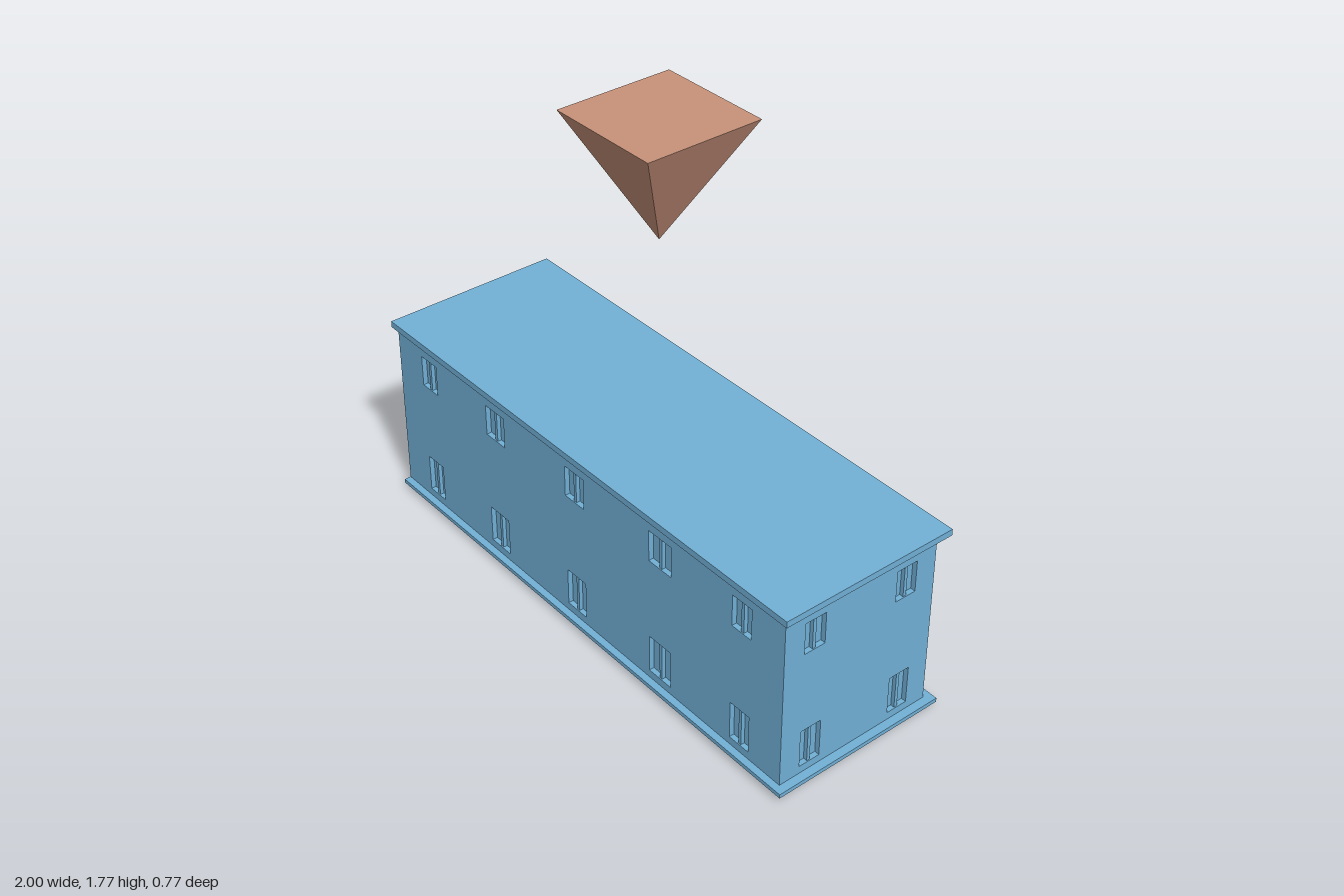
import * as THREE from 'three';

const blue = new THREE.MeshStandardMaterial({ color: 0x72b0d6, flatShading: true });
const brown = new THREE.MeshStandardMaterial({ color: 0xc8927a, flatShading: true });

const WALL = 0.03;    // wall thickness
const Y0 = 0.035;     // wall foot
const Y1 = 0.68;      // wall head

// Box given by its limits on each axis
function box(name, [x0, x1], [y0, y1], [z0, z1]) {
  const mesh = new THREE.Mesh(new THREE.BoxGeometry(x1 - x0, y1 - y0, z1 - z0), blue);
  mesh.position.set((x0 + x1) / 2, (y0 + y1) / 2, (z0 + z1) / 2);
  mesh.name = name;
  return mesh;
}

// Flat panel with rectangular openings, outer face at z = 0
function panel(name, x0, x1, y0, y1, openings, depth) {
  const rect = (P, a, b, c, d) => {
    const p = new P();
    p.moveTo(a, c); p.lineTo(b, c); p.lineTo(b, d); p.lineTo(a, d); p.closePath();
    return p;
  };
  const shape = rect(THREE.Shape, x0, x1, y0, y1);
  for (const o of openings) {
    shape.holes.push(rect(THREE.Path, o.x - o.w / 2, o.x + o.w / 2, o.y0, o.y1));
  }
  const geo = new THREE.ExtrudeGeometry(shape, { depth, bevelEnabled: false });
  geo.translate(0, 0, -depth);
  const mesh = new THREE.Mesh(geo, blue);
  mesh.name = name;
  return mesh;
}

// Recessed panes with posts and an optional transom
function makeWindow(o) {
  const g = new THREE.Group();
  g.name = 'window';
  const x0 = o.x - o.w / 2, x1 = o.x + o.w / 2;
  g.add(box('glass', [x0, x1], [o.y0, o.y1], [-WALL, -0.018]));
  for (let i = 1; i < o.cols; i++) {
    const x = x0 + (o.w * i) / o.cols;
    g.add(box('post', [x - 0.006, x + 0.006], [o.y0, o.y1], [-0.019, -0.004]));
  }
  if (o.transom) {
    const y = o.y0 + (o.y1 - o.y0) * 0.66;
    g.add(box('transom', [x0, x1], [y - 0.006, y + 0.006], [-0.019, -0.004]));
  }
  return g;
}

// Wall with its windows, drawn facing +z
function makeWall(name, x0, x1, windows) {
  const g = new THREE.Group();
  g.name = name;
  g.add(panel('wallFace', x0, x1, Y0, Y1, windows, WALL));
  windows.forEach((o) => g.add(makeWindow(o)));
  return g;
}

const upper = (x, w) => ({ x, w, y0: 0.505, y1: 0.62, cols: 2 });
const lower = (x, w) => ({ x, w, y0: 0.063, y1: 0.203, cols: 2 });
const large = (x, w) => ({ x, w, y0: 0.07, y1: 0.25, cols: 3, transom: true });

export function createModel() {
  const model = new THREE.Group();
  model.name = 'building';

  // Roof and base slabs, overhanging on three sides
  model.add(box('roofSlab', [-1, 1], [Y1, 0.703], [-0.27, 0.385]));
  model.add(box('baseSlab', [-1, 1], [0.02, Y0], [-0.27, 0.385]));

  // Front wall: two rows of five windows
  const bays = [[-0.82, 0.085], [-0.44, 0.1], [-0.015, 0.095], [0.41, 0.105], [0.785, 0.085]];
  const front = makeWall('frontWall', -1, 0.97,
    bays.flatMap(([x, w]) => [upper(x, w), lower(x, w)]));
  front.position.z = 0.36;
  model.add(front);

  // Back wall: five small windows above, four large ones below
  const back = makeWall('backWall', -0.97, 1, [
    ...bays.map(([x, w]) => upper(-x, w)),
    large(-0.8, 0.17), large(-0.43, 0.205), large(0.43, 0.205), large(0.805, 0.17),
  ]);
  back.rotation.y = Math.PI;
  back.position.z = -0.24;
  model.add(back);

  // Left end wall with four windows, plain right end wall
  const side = makeWall('leftWall', -0.36 + WALL, 0.24 - WALL,
    [-0.242, 0.122].flatMap((x) => [upper(x, 0.08), lower(x, 0.08)]));
  side.rotation.y = Math.PI / 2;
  side.position.x = 0.97;
  model.add(side);
  model.add(box('rightWall', [-1, -1 + WALL], [Y0, Y1], [-0.24 + WALL, 0.36 - WALL]));

  // Entrance porch: back panel with doorway, canopy, side wall and steps
  const porch = new THREE.Group();
  porch.name = 'porch';
  const door = { x: -0.075, w: 0.085, y0: 0.042, y1: 0.2 };
  const entry = panel('entrancePanel', -0.185, 0.21, 0, 0.225, [door], 0.032);
  entry.rotation.y = Math.PI;
  entry.position.z = -0.272;
  porch.add(entry);
  porch.add(box('door', [0.03, 0.12], [0.04, 0.202], [-0.25, -0.24]));
  porch.add(box('canopy', [-0.21, 0.185], [0.225, 0.293], [-0.385, -0.24]));
  porch.add(box('sideWall', [0.125, 0.185], [0, 0.225], [-0.385, -0.272]));
  porch.add(box('lowerStep', [-0.165, 0.125], [0, 0.018], [-0.305, -0.272]));
  porch.add(box('upperStep', [-0.165, 0.125], [0.018, 0.036], [-0.288, -0.272]));
  model.add(porch);

  // Inverted pyramid marker floating above the roof
  const cone = new THREE.ConeGeometry(0.21 * Math.SQRT2, 0.415, 4);
  cone.rotateY(Math.PI / 4);
  cone.rotateX(Math.PI);
  const marker = new THREE.Mesh(cone, brown);
  marker.position.set(0.02, 1.5675, 0.043);
  marker.name = 'marker';
  model.add(marker);

  return model;
}
